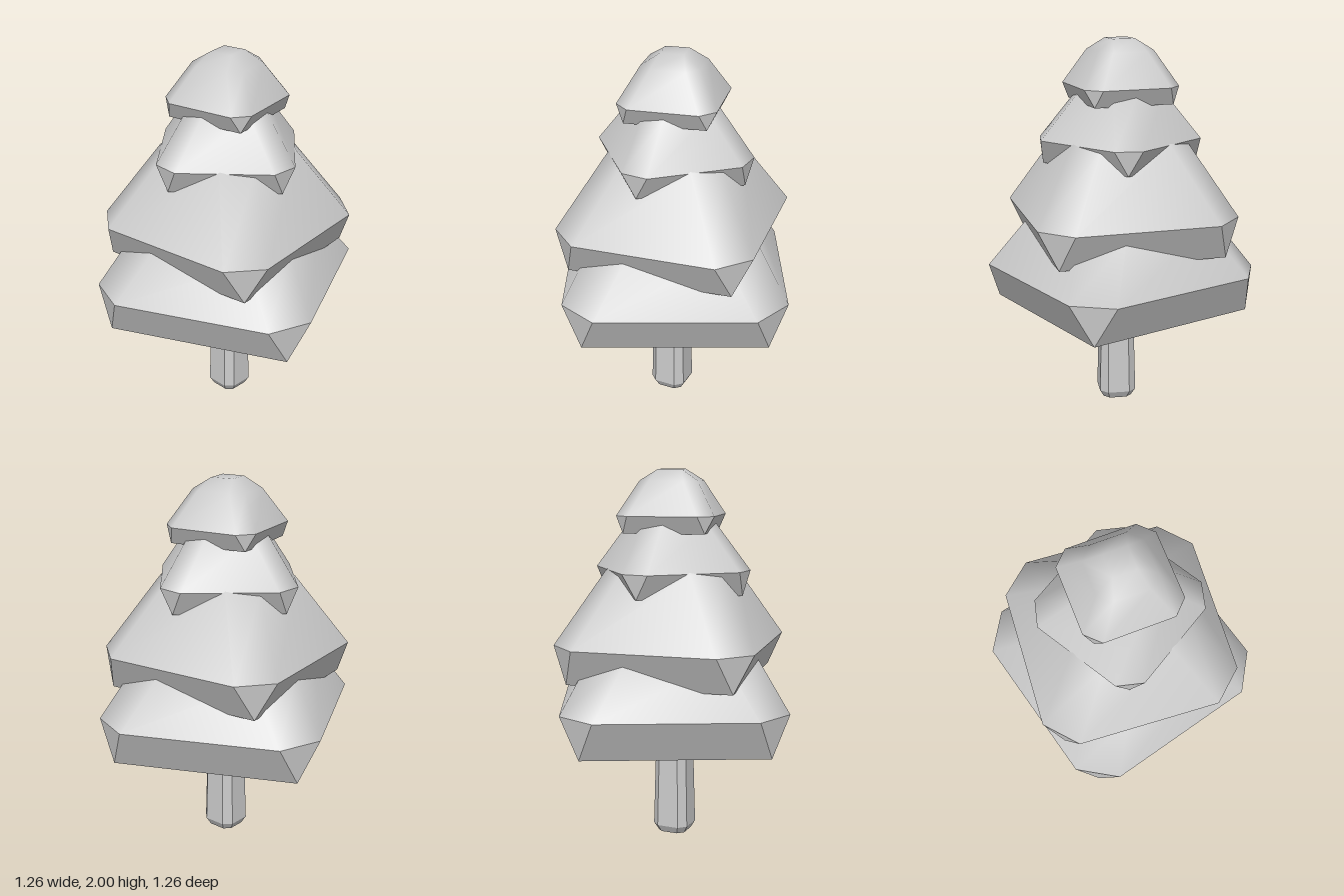
import * as THREE from 'three';
import { mergeVertices } from 'three/addons/utils/BufferGeometryUtils.js';

const material = new THREE.MeshStandardMaterial({ color: 0xcccccc });

// Square ring with cut corners: h = half width, k = share of each side left straight.
function ring([y, h, k]) {
  const c = h * k;
  return [[h, c], [h, -c], [c, -h], [-c, -h], [-h, -c], [-h, c], [-c, h], [c, h]]
    .map(([x, z]) => new THREE.Vector3(x, y, z));
}

// Skin a stack of rings, optionally closing the bottom or the top.
function skin(levels, { bottom = false, top = false, smooth = false }) {
  const rings = levels.map(ring);
  const points = [];
  const tri = (a, b, c) => {
    const area = b.clone().sub(a).cross(c.clone().sub(a)).length();
    if (area > 1e-8) points.push(a, b, c); // square rings have doubled corners
  };
  for (let r = 0; r + 1 < rings.length; r++) {
    const lo = rings[r], hi = rings[r + 1];
    for (let i = 0; i < 8; i++) {
      const j = (i + 1) % 8;
      tri(lo[i], lo[j], hi[j]);
      tri(lo[i], hi[j], hi[i]);
    }
  }
  const first = rings[0], last = rings[rings.length - 1];
  for (let i = 1; i < 7; i++) {
    if (bottom) tri(first[0], first[i + 1], first[i]);
    if (top) tri(last[0], last[i], last[i + 1]);
  }
  let geometry = new THREE.BufferGeometry().setFromPoints(points);
  if (smooth) geometry = mergeVertices(geometry, 1e-4);
  geometry.computeVertexNormals();
  return geometry;
}

function addMesh(parent, name, geometry) {
  const mesh = new THREE.Mesh(geometry, material);
  mesh.name = name;
  parent.add(mesh);
}

export function createModel() {
  const tree = new THREE.Group();
  tree.name = 'tree';

  // Trunk: tapered, faceted post with a bevelled foot
  const trunk = new THREE.Group();
  trunk.name = 'trunk';
  trunk.position.set(0.015, 0, 0.015);
  trunk.rotation.y = -0.45;
  addMesh(trunk, 'trunkPost', skin(
    [[0, 0.078, 0.6], [0.04, 0.1, 0.6], [0.62, 0.086, 0.6]], { bottom: true, top: true }));
  tree.add(trunk);

  // Foliage tiers: turn, underside, rim, shoulder and cap levels
  const tiers = [
    { turn: 0, under: [0.545, 0.492], rim: [0.76, 0.592], shoulder: [1.04, 0.43], cap: [1.2, 0.2] },
    { turn: -0.32, under: [0.895, 0.445], rim: [1.09, 0.537], shoulder: [1.475, 0.31], cap: [1.6, 0.12] },
    { turn: 0.288, under: [1.345, 0.291], rim: [1.475, 0.352], shoulder: [1.72, 0.203], cap: [1.82, 0.08] },
    { turn: -0.245, under: [1.67, 0.216], rim: [1.76, 0.26], shoulder: [1.94, 0.155], cap: [2, 0.062] },
  ];
  tiers.forEach(({ turn, under, rim, shoulder, cap }, i) => {
    const tier = new THREE.Group();
    tier.name = `foliageTier${i + 1}`;
    tier.rotation.y = turn;
    // Sharp flared skirt, with corners running to points below
    addMesh(tier, 'skirt', skin([[...under, 1], [...rim, 0.708]], { bottom: true }));
    // Softly shaded slope up to a small flat cap
    addMesh(tier, 'slope', skin(
      [[...rim, 0.708], [...shoulder, 0.59], [...cap, 1]], { top: true, smooth: true }));
    tree.add(tier);
  });
  return tree;
}
